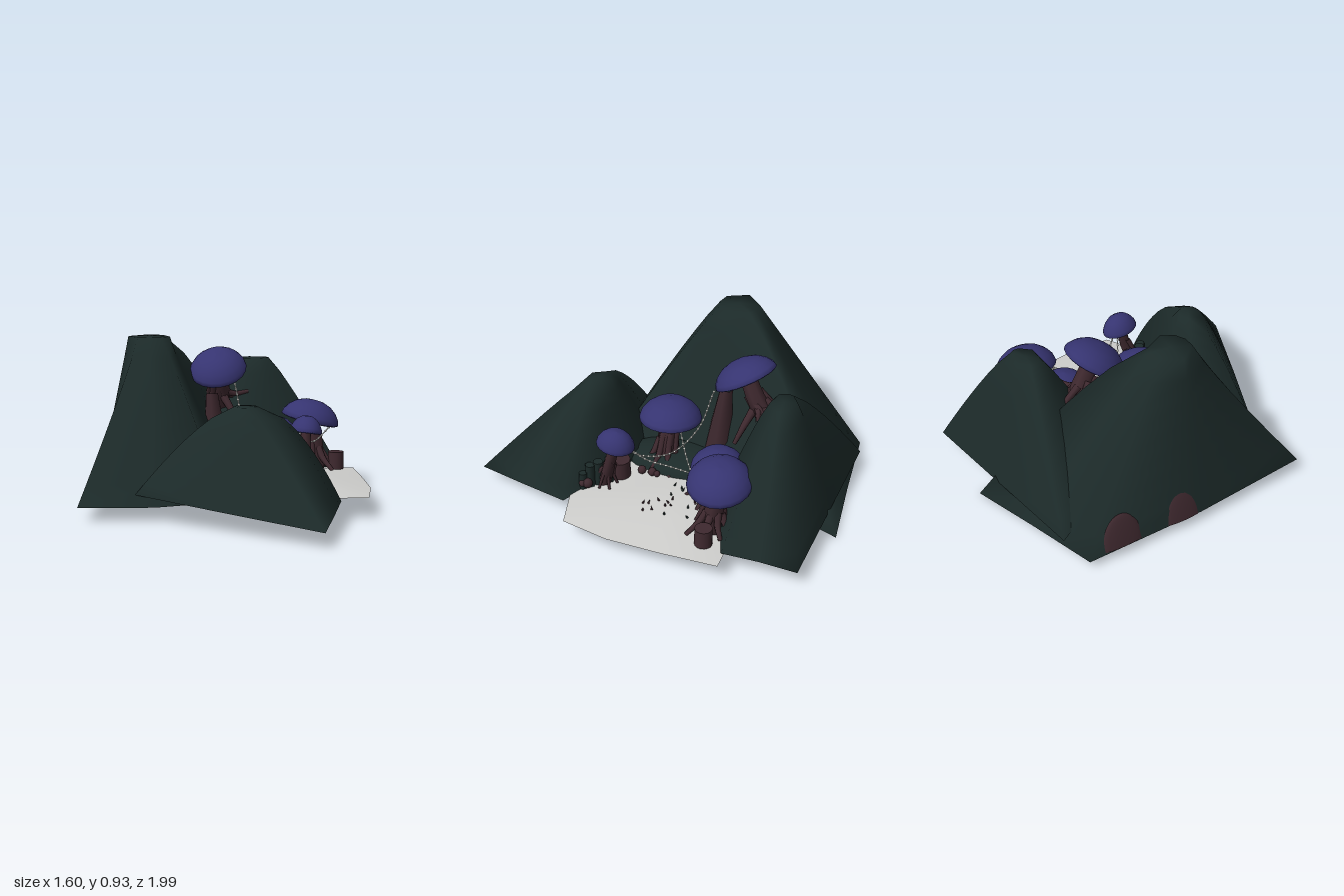
import * as THREE from 'three';

const mat = (name, color, side = THREE.FrontSide) => {
  const m = new THREE.MeshStandardMaterial({ color, side });
  m.name = name;
  return m;
};
const V = (p) => new THREE.Vector3(...p);

export function createModel() {
  const model = new THREE.Group();
  const green = mat('dark moss green', 0x1c2a29, THREE.DoubleSide);
  const purple = mat('mushroom violet', 0x363471, THREE.DoubleSide);
  const brown = mat('bark brown', 0x3f292f);
  const pale = mat('pale stone', 0xcfcfcd, THREE.DoubleSide);
  const white = mat('lantern white', 0xeeeee8);

  let seed = 7;
  const rnd = () => ((seed = (seed * 16807) % 2147483647) / 2147483647);
  const add = (name, geo, m, parent = model) => {
    const mesh = new THREE.Mesh(geo, m);
    mesh.name = name;
    parent.add(mesh);
    return mesh;
  };

  // Surface through closed loops of points, closed at the last loop by a centre point
  function loft(loops, centre) {
    const n = loops[0].length, idx = [];
    const pos = [...loops.flat(2), ...centre];
    const last = (loops.length - 1) * n;
    for (let k = 0; k < loops.length - 1; k++)
      for (let i = 0; i < n; i++) {
        const a = k * n + i, b = k * n + (i + 1) % n;
        idx.push(a, b, a + n, b, b + n, a + n);
      }
    for (let i = 0; i < n; i++) idx.push(last + i, last + (i + 1) % n, last + n);
    const g = new THREE.BufferGeometry();
    g.setAttribute('position', new THREE.Float32BufferAttribute(pos, 3));
    g.setIndex(idx);
    g.computeVertexNormals();
    return g;
  }

  // Hollow hill rising from an uneven base outline to a small flat top;
  // a fourth number on a base point makes that flank bulge (<1) or sink (>1)
  function hill(name, base, [cx, cy, cz], sx, sz, power) {
    const loops = [];
    for (let k = 0; k <= 8; k++) {
      const h = 1 - k / 8;
      loops.push(base.map(([x, y, z, flank = power]) => {
        const f = Math.pow(h, flank), d = Math.hypot(x - cx, z - cz);
        const tx = cx + sx * (x - cx) / d, tz = cz + sz * (z - cz) / d;
        return [tx + (x - tx) * f, cy + (y - cy) * h, tz + (z - tz) * f];
      }));
    }
    add(name, loft(loops, [cx, cy + 0.005, cz]), green);
  }
  hill('tallHill', [[-.8, .08, .36, 1.1], [-.71, .06, -.3, 1.03], [-.57, .045, -.95], [-.15, .02, -.97, .9],
    [.26, 0, -1, .76], [.03, .13, -.08, 1.1], [-.04, .1, .37, .9], [-.4, .08, .38, .92]], [-.41, .92, -.24], .12, .11, 1);
  hill('backHill', [[-.41, .1, -.98], [.15, .1, -.94], [.71, .1, -.9], [.71, .115, -.7],
    [.71, .115, -.5], [.3, .13, -.36], [-.15, .15, -.36], [-.3, .12, -.65]], [.215, .755, -.665], .09, .07, 0.86);
  hill('frontHill', [[-.5, .14, .34, .72], [-.05, .11, .67, .85], [.4, .08, .99, .93], [.49, .095, .7, .7],
    [.57, .11, .43, .56], [.3, .12, .28, .7], [.1, .13, .16, .85], [-.15, .14, .2, .75]],
    [.075, .607, .395], .06, .065, 0.9);

  // Gently domed clearing with a mossy bank at its inner side
  const rim = [[.8, .105, -.51], [.8, .105, -.2], [.79, .108, .1], [.73, .11, .36], [.52, .12, .41],
    [.15, .12, .36], [-.2, .12, .3], [-.2, .12, -.1], [-.2, .12, -.55], [.3, .12, -.53]];
  const inner = rim.map(([x, y, z]) => [.3 + (x - .3) * .5, .145, -.07 + (z + .07) * .5]);
  add('clearing', loft([rim, inner], [.3, .15, -.07]), pale);
  const bank = add('mossyBank', new THREE.SphereGeometry(1, 16, 6, 0, Math.PI * 2, 0, Math.PI / 2), green);
  bank.scale.set(.19, .1, .34);
  bank.position.set(.05, .13, -.08);

  // Tapering tube along a smooth path
  function limb(name, pts, r0, r1, m = brown, parent = model, seg = 10, sides = 7) {
    const curve = new THREE.CatmullRomCurve3(pts.map(V));
    const g = new THREE.TubeGeometry(curve, seg, 1, sides);
    const p = g.attributes.position, v = new THREE.Vector3();
    for (let i = 0; i < p.count; i++) {
      const t = Math.floor(i / (sides + 1)) / seg, c = curve.getPointAt(t);
      v.fromBufferAttribute(p, i).sub(c).multiplyScalar(r0 + (r1 - r0) * t).add(c);
      p.setXYZ(i, v.x, v.y, v.z);
    }
    return add(name, g, m, parent);
  }

  // Mushroom: domed cap, leaning stem and roots that spread from the stem
  function mushroom(name, cap, [rx, h, rz], [tiltX, tiltZ], foot, stemR, roots, spread) {
    const g = new THREE.Group();
    g.name = name;
    model.add(g);
    const profile = [[0, .3], [.5, .18], [.93, -.07], [1, 0], [.96, .22], [.82, .52], [.6, .79], [.32, .95], [0, 1]]
      .map(([x, y]) => new THREE.Vector2(x, y));
    const c = add('cap', new THREE.LatheGeometry(profile, 20), purple, g);
    c.scale.set(rx, h, rz);
    c.rotation.set(tiltX, 0, tiltZ);
    c.position.set(...cap);
    const at = (t) => cap.map((v, i) => foot[i] + (v - foot[i]) * t);
    const top = [cap[0], cap[1] + h * .3, cap[2]], mid = at(.5);
    mid[0] += .012;
    limb('stem', [foot, mid, top], stemR, stemR * .75, brown, g);
    for (let i = 0; i < roots; i++) {
      const a = (i + rnd() * .6) / roots * Math.PI * 2, s = spread * (.75 + rnd() * .5);
      const hi = at(.35 + rnd() * .45), lo = at(.14), cs = Math.cos(a), sn = Math.sin(a);
      limb('root', [
        [hi[0] + cs * stemR * .7, hi[1], hi[2] + sn * stemR * .7],
        [lo[0] + cs * stemR * 1.2, lo[1] + .03, lo[2] + sn * stemR * 1.2],
        [foot[0] + cs * s, foot[1] + .01, foot[2] + sn * s]], stemR * .4, stemR * .2, brown, g, 7, 6);
    }
  }
  mushroom('tallMushroom', [-.015, .715, -.4], [.165, .105, .178], [.52, .16], [.0, .48, -.54], .058, 6, .1);
  mushroom('middleMushroom', [.05, .415, 0], [.172, .11, .172], [0, .05], [.1, .13, .02], .058, 8, .14);
  mushroom('smallMushroom', [.415, .435, .18], [.088, .09, .105], [-.15, -.12], [.37, .13, .27], .036, 7, .08);
  mushroom('lowMushroom', [.3, .345, -.35], [.14, .1, .145], [.1, 0], [.32, .13, -.3], .047, 7, .11);
  mushroom('edgeMushroom', [.525, .415, -.43], [.172, .115, .172], [0, -.24], [.55, .12, -.39], .058, 8, .11);

  // Branches and a broken trunk on the slope
  limb('sideBranch', [[.0, .6, -.47], [.08, .56, -.5], [.17, .57, -.52]], .022, .01);
  limb('slopeRoot', [[.02, .55, -.46], [.07, .46, -.42], [.1, .36, -.38]], .025, .012);
  limb('brokenTrunk', [[-.04, .22, -.25], [-.05, .42, -.265], [-.06, .59, -.28]], .08, .035);

  // Stumps
  for (const [x, y, z, r, h] of [[.675, .175, -.395, .046, .1], [.29, .195, .21, .058, .1]]) {
    add('stump', new THREE.CylinderGeometry(r, r * 1.03, h, 16), brown).position.set(x, y, z);
  }
  // Mossy posts and bark knobs beside the small mushroom
  for (const [x, z, h, r] of [[.38, .3, .17, .032], [.41, .335, .16, .03], [.44, .365, .12, .026], [.35, .25, .18, .03]]) {
    add('mossyPost', new THREE.CylinderGeometry(r * .9, r, h, 7), green).position.set(x, .1 + h / 2, z);
  }
  for (const [x, z, r] of [[.42, .35, .026], [.45, .335, .028], [.4, .36, .022], [.46, .36, .02],
    [.24, .04, .024], [.25, .01, .018], [.24, .1, .024]]) {
    add('barkKnob', new THREE.SphereGeometry(r, 10, 8), brown).position.set(x, .165, z);
  }

  // Bark showing through the foot of the tall hill
  for (const [z, w] of [[-.75, .12], [-.4, .11]]) {
    const lump = add('barkPatch', new THREE.SphereGeometry(1, 16, 8, 0, Math.PI * 2, 0, Math.PI / 2), brown);
    lump.scale.set(.022, .18, w);
    lump.rotation.set(0, -.2, -.22);
    lump.position.set(-.698 - .215 * (z + .3), .056, z);
  }

  // Scattered tufts and twigs on the clearing
  for (let i = 0; i < 20; i++) {
    const x = .26 + rnd() * .3, z = -.26 + rnd() * .16 + (i % 4 === 0 ? .22 * rnd() : 0);
    const tuft = add('tuft', new THREE.ConeGeometry(.007, .026, 5), i % 2 ? green : brown);
    tuft.position.set(x, .158, z);
    tuft.rotation.set(rnd() - .5, 0, rnd() - .5);
  }
  // Vines below the clearing
  limb('vine', [[.7, .105, -.42], [.4, .112, -.46], [.0, .112, -.5]], .008, .008, green);
  limb('vine', [[.58, .108, .34], [.4, .11, .3], [.12, .112, .26]], .009, .008, green);

  // Hanging strings of small lights between the caps
  const strings = [
    [[.07, .645, -.25], [.12, .42, -.18], [.22, .3, -.06], [.33, .33, .08], [.39, .42, .14]],
    [[.17, .41, -.1], [.22, .29, -.15], [.28, .245, -.2], [.38, .29, -.27], [.46, .385, -.32]],
    [[.4, .42, .12], [.37, .34, .02], [.36, .32, -.1], [.39, .33, -.22], [.48, .4, -.32]],
    [[.44, .4, -.31], [.48, .31, -.27], [.53, .31, -.27], [.62, .38, -.32]],
  ];
  for (const pts of strings) {
    const curve = new THREE.CatmullRomCurve3(pts.map(V));
    add('lightString', new THREE.TubeGeometry(curve, 30, .0035, 6), white);
    const n = Math.round(curve.getLength() / .03);
    for (let i = 0; i <= n; i++)
      add('light', new THREE.SphereGeometry(.0065, 8, 6), white).position.copy(curve.getPointAt(i / n));
  }
  return model;
}
